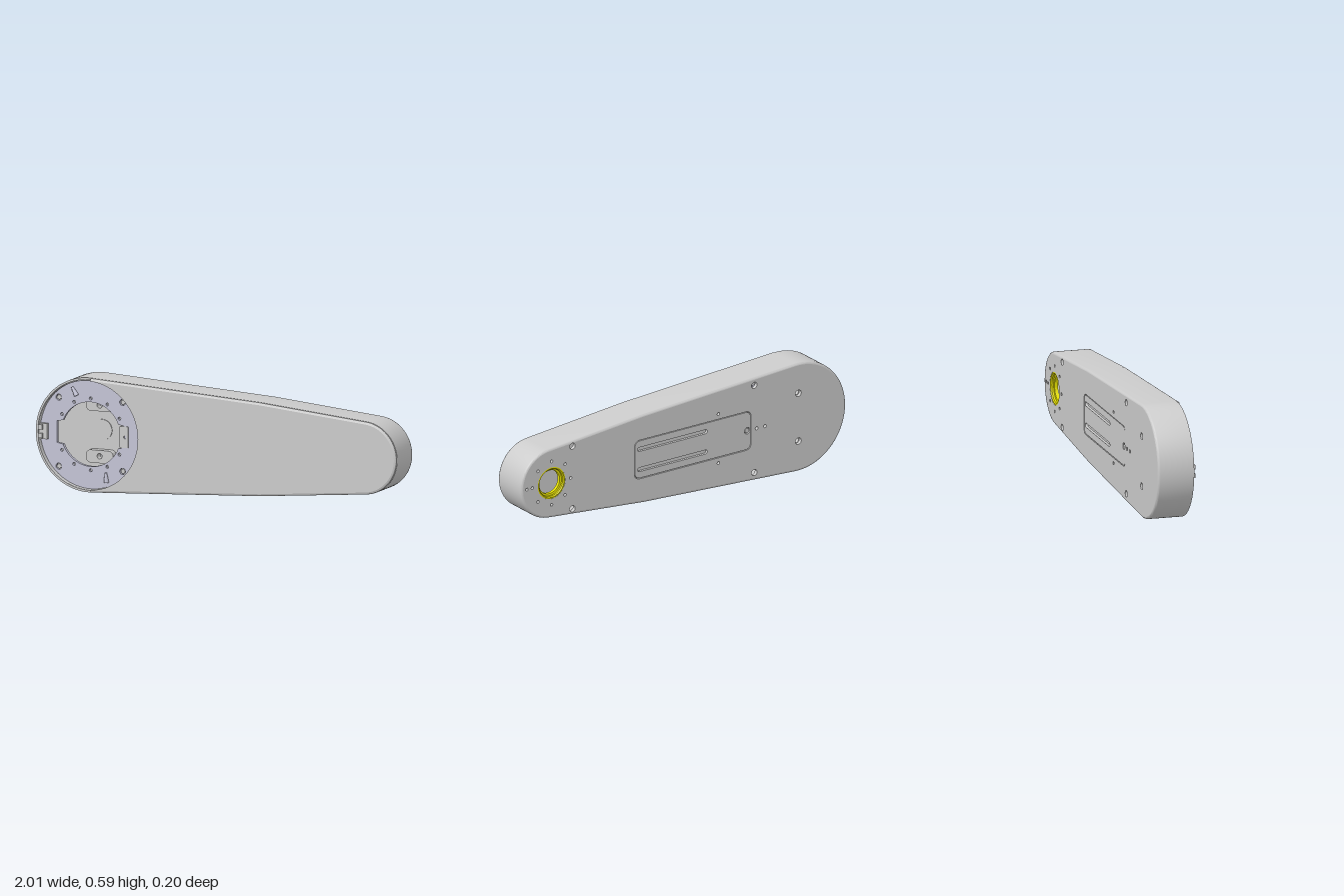
import * as THREE from 'three';
import { toCreasedNormals } from 'three/addons/utils/BufferGeometryUtils.js';

const CY = 0.297, BIG_X = -0.712, BIG_R = 0.2935, SMALL_X = 0.813, SMALL_R = 0.187;
const POCKET_R = 0.279;
const rad = THREE.MathUtils.degToRad;
const material = (color) => new THREE.MeshStandardMaterial({ color, side: THREE.DoubleSide });
const grey = material(0xcccccc);
const silver = material(0xc4c4d6);
const yellow = material(0xe6e000);

// Points along an arc, angles in degrees
function arc(cx, cy, r, from, to, n) {
  return Array.from({ length: n + 1 }, (_, i) => {
    const a = rad(from + (to - from) * i / n);
    return new THREE.Vector2(cx + r * Math.cos(a), cy + r * Math.sin(a));
  });
}

// Tapered side of the arm, counter-clockwise from the lower bend to the upper bend
function taper(t) {
  return [
    new THREE.Vector2(0.24, CY - 0.24 + t),
    ...arc(SMALL_X, CY, SMALL_R - t, -84.7, 84.7, 40),
    new THREE.Vector2(0.24, CY + 0.24 - t),
  ];
}
const bodyOutline = (t) => [...taper(t), ...arc(BIG_X, CY, BIG_R - t, 87, 273, 56)];
const coverOutline = (t) => [
  ...taper(t),
  ...arc(BIG_X, CY, BIG_R - t, 87, 87, 1).slice(0, 1),
  ...arc(BIG_X, CY, POCKET_R, 87, -87, 48),
  ...arc(BIG_X, CY, BIG_R - t, -87, -87, 1).slice(0, 1),
];

// Skin through [inset, z] rings of an outline
function loft(outline, levels) {
  const pos = [], index = [];
  const n = outline(0).length;
  for (const [inset, z] of levels) for (const p of outline(inset)) pos.push(p.x, p.y, z);
  for (let k = 0; k < levels.length - 1; k++) {
    for (let j = 0; j < n; j++) {
      const a = k * n + j, b = k * n + (j + 1) % n;
      index.push(a, b, b + n, a, b + n, a + n);
    }
  }
  const g = new THREE.BufferGeometry();
  g.setAttribute('position', new THREE.Float32BufferAttribute(pos, 3));
  g.setIndex(index);
  return toCreasedNormals(g, 0.55);
}

// Flat plate between two depths, with holes given as point lists
function plate(points, z0, z1, holes = []) {
  const shape = new THREE.Shape(points);
  shape.holes = holes.map((h) => new THREE.Path(h));
  const g = new THREE.ExtrudeGeometry(shape, { depth: z1 - z0, bevelEnabled: false });
  g.translate(0, 0, z0);
  return toCreasedNormals(g, 0.55);
}

const circle = (x, y, r, n = 20) => arc(x, y, r, 0, 360, n).slice(0, n);

function roundedRect(cx, cy, w, h, r) {
  const x = w / 2 - r, y = h / 2 - r;
  return [
    ...arc(cx + x, cy + y, r, 0, 90, 6), ...arc(cx - x, cy + y, r, 90, 180, 6),
    ...arc(cx - x, cy - y, r, 180, 270, 6), ...arc(cx + x, cy - y, r, 270, 360, 6),
  ];
}

export function createModel() {
  const model = new THREE.Group();
  const add = (name, geometry, mat = grey, parent = model) => {
    const mesh = new THREE.Mesh(geometry, mat);
    mesh.name = name;
    parent.add(mesh);
    return mesh;
  };

  // Hollow body: rounded back edge, outer wall, rim, inner wall
  add('bodyShell', loft(bodyOutline, [
    [0.012, -0.101], [0.006, -0.0995], [0.0015, -0.095], [0, -0.089],
    [0, 0.088], [0.011, 0.088], [0.011, -0.082],
  ]));

  // Back plate with screw holes, bearing hole and panel recess
  const backHoles = [circle(SMALL_X, CY, 0.085, 40), roundedRect(-0.06, CY, 0.72, 0.21, 0.03)];
  for (const s of [-1, 1]) {
    backHoles.push(
      circle(0.684, CY + s * 0.17, 0.017), circle(-0.44, CY + s * 0.237, 0.017),
      circle(BIG_X, CY + s * 0.13, 0.018), circle(-0.218, CY + s * 0.133, 0.008),
    );
  }
  backHoles.push(circle(-0.454, CY, 0.009), circle(-0.506, CY, 0.009), circle(0.965, CY, 0.008));
  for (let i = 0; i < 8; i++) {
    const a = rad(45 * i);
    backHoles.push(circle(SMALL_X + 0.118 * Math.cos(a), CY + 0.118 * Math.sin(a), 0.008, 12));
  }
  add('backPlate', plate(bodyOutline(0.012), -0.101, -0.081, backHoles));

  // Inset access panel with two long slots and a screw
  const panel = new THREE.Group();
  panel.name = 'accessPanel';
  model.add(panel);
  add('panelPlate', plate(roundedRect(-0.06, CY, 0.712, 0.202, 0.027), -0.1, -0.086, [
    roundedRect(0.065, CY + 0.055, 0.43, 0.022, 0.01),
    roundedRect(0.065, CY - 0.055, 0.43, 0.022, 0.01),
    circle(-0.397, CY, 0.018),
  ]), grey, panel);
  add('panelFloor', plate(roundedRect(-0.06, CY, 0.74, 0.23, 0.03), -0.086, -0.08), grey, panel);
  add('panelScrew', plate(circle(-0.397, CY, 0.013), -0.097, -0.085), grey, panel);

  // Yellow stepped bearing ring at the narrow end
  const bearing = [[0.085, -0.1], [0.078, -0.101], [0.073, -0.095], [0.073, -0.085],
    [0.063, -0.083], [0.063, -0.065], [0.085, -0.065], [0.085, -0.1]];
  const bearingGeo = new THREE.LatheGeometry(bearing.map(([r, z]) => new THREE.Vector2(r, z)), 48);
  bearingGeo.rotateX(Math.PI / 2);
  add('bearingRing', toCreasedNormals(bearingGeo, 0.5), yellow).position.set(SMALL_X, CY, 0);

  // Front cover with rounded edge, cut away around the mounting pocket
  add('coverEdge', loft(coverOutline, [
    [0.002, 0.088], [0.001, 0.09], [0.001, 0.094], [0.005, 0.1], [0.012, 0.103],
  ]));
  add('coverPlate', plate(coverOutline(0.012), 0.09, 0.103));

  // Pocket wall around the mounting ring
  const pocket = new THREE.CylinderGeometry(POCKET_R, POCKET_R, 0.046, 72, 1, true);
  pocket.rotateX(Math.PI / 2);
  add('pocketWall', pocket).position.set(BIG_X, CY, 0.065);

  // Mounting ring: notched opening, corner screws and a circle of small holes
  const mount = new THREE.Group();
  mount.name = 'mount';
  mount.position.set(BIG_X, CY, 0);
  model.add(mount);
  const opening = [
    new THREE.Vector2(0.188, -0.055), new THREE.Vector2(0.188, 0.055),
    ...arc(0, 0, 0.165, 22, 158, 30),
    new THREE.Vector2(-0.188, 0.055), new THREE.Vector2(-0.188, -0.055),
    ...arc(0, 0, 0.165, 202, 338, 30),
  ];
  const ringHoles = [opening];
  for (let i = 0; i < 4; i++) {
    const a = rad(45 + 90 * i);
    ringHoles.push(circle(0.25 * Math.cos(a), 0.25 * Math.sin(a), 0.016));
  }
  for (const d of [30, 60, 90, 120, 150, 210, 240, 270, 300, 330]) {
    const a = rad(d);
    ringHoles.push(circle(0.184 * Math.cos(a), 0.184 * Math.sin(a), 0.008, 12));
  }
  add('mountRing', plate(circle(0, 0, POCKET_R, 72), 0.045, 0.065, ringHoles), silver, mount);
  for (let i = 0; i < 4; i++) {
    const a = rad(45 + 90 * i);
    add('ringScrew', plate(circle(0.25 * Math.cos(a), 0.25 * Math.sin(a), 0.012), 0.046, 0.06), grey, mount);
  }

  // Connector tab, side clip and two locating pins
  add('connectorTab', plate(roundedRect(0.186, 0, 0.05, 0.11, 0.006), 0.04, 0.07,
    [circle(0.192, 0, 0.008, 12)]), grey, mount);
  add('clipBase', new THREE.BoxGeometry(0.045, 0.08, 0.03), grey, mount).position.set(-0.255, 0, 0.072);
  for (const s of [-1, 1]) {
    add('clipJaw', new THREE.BoxGeometry(0.022, 0.025, 0.012), grey, mount).position.set(-0.266, s * 0.022, 0.092);
    const pin = add('locatingPin', new THREE.CylinderGeometry(0.006, 0.013, 0.05, 12), silver, mount);
    pin.position.set(s * 0.088, -s * 0.215, 0.07);
    pin.rotation.z = rad(s > 0 ? 5 : 30);
  }

  // Drilled bosses and hub disc on the pocket floor
  for (const s of [-1, 1]) {
    add('drilledBoss', plate(roundedRect(0, s * 0.133, 0.15, 0.066, 0.025), -0.082, -0.042,
      [circle(0, s * 0.13, 0.014)]), grey, mount);
  }
  add('hubDisc', plate(circle(0, 0, 0.053, 40), -0.082, -0.076), grey, mount);

  return model;
}
